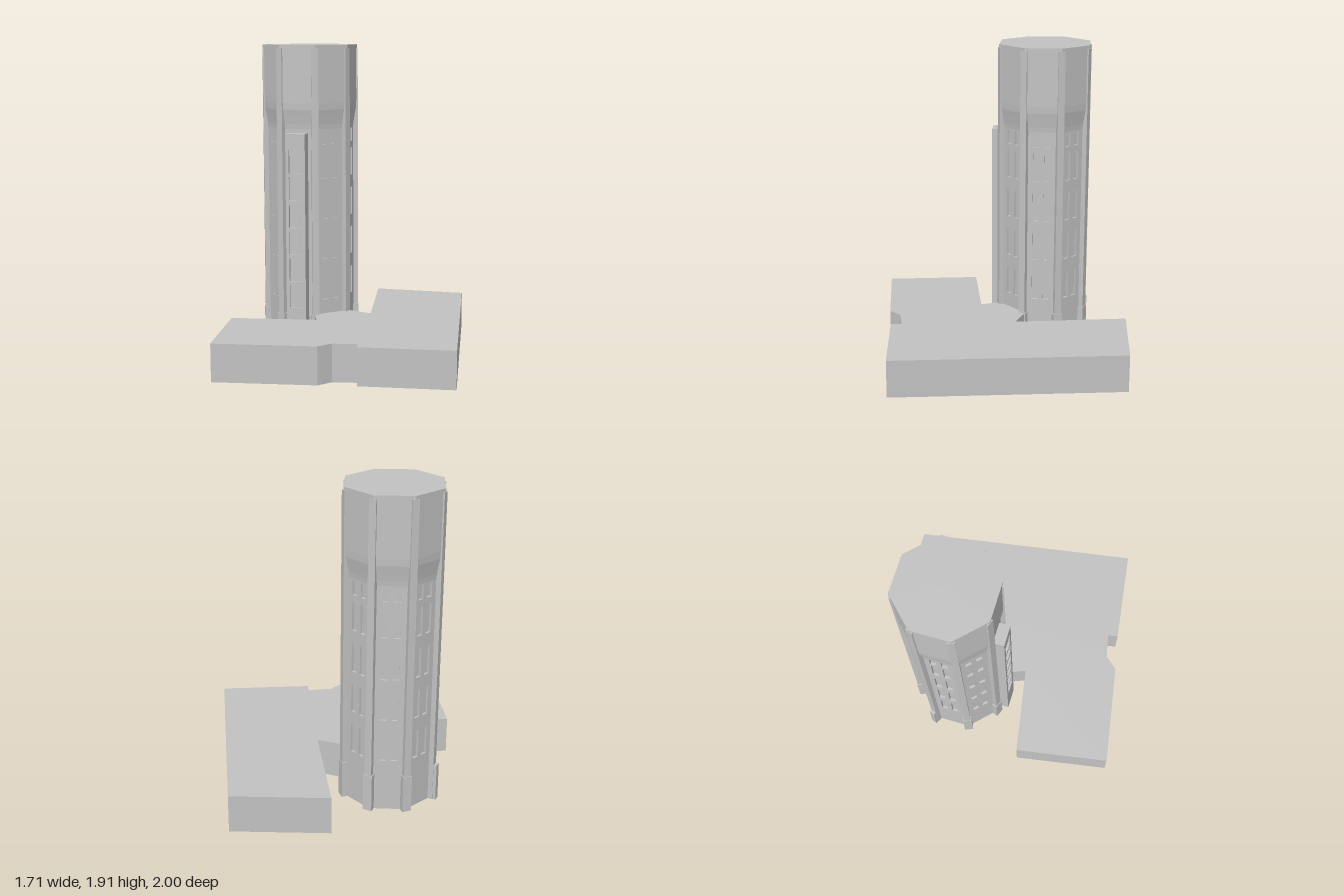
import * as THREE from 'three';

const TOWER_X = -0.54, TOWER_Z = -0.035;
const CORNER = THREE.MathUtils.degToRad(33.5), STEP = Math.PI / 4;

// Rectangle outline, used for walls and window openings
function rect(path, x0, y0, x1, y1) {
  path.moveTo(x0, y0);
  path.lineTo(x1, y0);
  path.lineTo(x1, y1);
  path.lineTo(x0, y1);
  path.closePath();
  return path;
}

// Wall panel with openings, its outer face lying at z = 0
function panel(width, height, depth, openings) {
  const shape = rect(new THREE.Shape(), -width / 2, 0, width / 2, height);
  for (const o of openings) shape.holes.push(rect(new THREE.Path(), ...o));
  const geo = new THREE.ExtrudeGeometry(shape, { depth, bevelEnabled: false });
  return geo.translate(0, 0, -depth);
}

export function createModel() {
  const model = new THREE.Group();
  const grey = new THREE.MeshStandardMaterial({ color: 0xc2c2c2 });
  const tower = new THREE.Group();
  tower.name = 'tower';
  tower.position.set(TOWER_X, 0, TOWER_Z);
  model.add(tower);

  function add(parent, name, geo) {
    const mesh = new THREE.Mesh(geo, grey);
    mesh.name = name;
    parent.add(mesh);
    return mesh;
  }
  // Put a tower part at an angle and radius, local +z facing outward
  function place(name, geo, angle, radius) {
    const mesh = add(tower, name, geo);
    mesh.position.set(Math.cos(angle) * radius, 0, Math.sin(angle) * radius);
    mesh.rotation.y = Math.PI / 2 - angle;
  }
  const box = (w, h, d) => new THREE.BoxGeometry(w, h, d).translate(0, h / 2, -d / 2);

  // Low angular building
  const plan = [
    [-0.11, -1], [-0.585, -0.66], [-0.1, -0.16], [-0.25, -0.115], [-0.36, -0.08],
    [-0.38, 0.07], [-0.29, 0.14], [-0.2, 0.2], [-0.585, 0.57], [-0.185, 0.995],
    [0.265, 0.57], [0.275, 0.47], [0.38, 0.365], [0.425, 0.41], [0.85, 0.035],
  ];
  const outline = new THREE.Shape(plan.map(([x, z]) => new THREE.Vector2(x, -z)));
  const base = new THREE.ExtrudeGeometry(outline, { depth: 0.23, bevelEnabled: false });
  add(model, 'lowBuilding', base.rotateX(-Math.PI / 2));

  // Octagonal core with the flared upper storey
  const profile = [
    [0, 0], [0.265, 0], [0.265, 1.4], [0.28, 1.4], [0.283, 1.43],
    [0.291, 1.48], [0.298, 1.52], [0.3, 1.56], [0.3, 1.915], [0, 1.915],
  ].map(([r, y]) => new THREE.Vector2(r, y));
  const core = new THREE.LatheGeometry(profile, 8, Math.PI / 2 - CORNER).toNonIndexed();
  core.computeVertexNormals();
  add(tower, 'towerCore', core);

  // Paired recessed windows in five rows
  const windows = [];
  for (const [y0, y1] of [[0.32, 0.495], [0.58, 0.755], [0.835, 1.01], [1.09, 1.265], [1.305, 1.39]])
    for (const x of [-0.034, 0.034]) windows.push([x - 0.019, y0, x + 0.019, y1]);

  const lowerApothem = 0.28 * Math.cos(Math.PI / 8);
  const faceWidth = 2 * 0.28 * Math.sin(Math.PI / 8);
  for (let i = 0; i < 8; i++) {
    const corner = CORNER + i * STEP;
    const face = corner + STEP / 2;
    place('windowWall', panel(faceWidth, 1.4, 0.014, i === 0 ? [] : windows), face, lowerApothem);
    place('cornerPilaster', box(0.042, 1.895, 0.05), corner, 0.301);
    // One pilaster foot stands out further than the rest
    const deep = i === 3;
    place('pilasterFoot', box(deep ? 0.036 : 0.055, 0.23, 0.06), corner, deep ? 0.32 : 0.305);
  }

  // Projecting stair bay with six recessed panels
  const bayFace = CORNER + STEP / 2;
  const bayOpenings = [];
  for (let i = 0; i < 6; i++) {
    const y = 0.28 + i * 0.17;
    bayOpenings.push([-0.042, y, 0.042, y + 0.147]);
  }
  place('stairBayFront', panel(0.126, 1.375, 0.014, bayOpenings), bayFace, 0.325);
  place('stairBayBody', box(0.126, 1.375, 0.07), bayFace, 0.311);

  return model;
}
